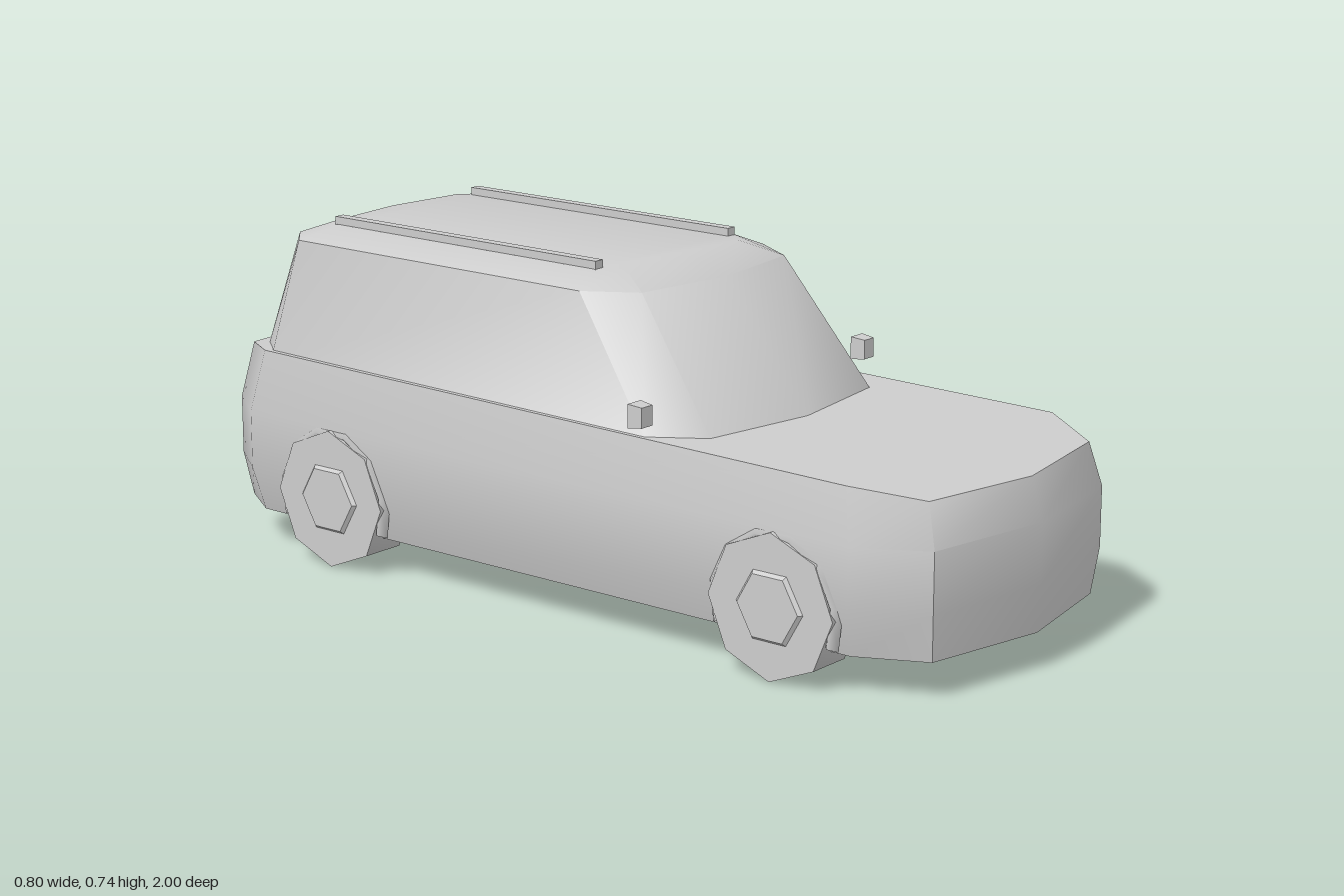
import * as THREE from 'three';
import { toCreasedNormals } from 'three/addons/utils/BufferGeometryUtils.js';

// Skins a stack of mirrored outlines; each half outline runs front to rear on +x as [x, y, z].
function loftHalfRings(halfRings, crease) {
  const positions = [];
  const index = [];
  const half = halfRings[0].length;
  const n = half * 2 - 2;
  for (const ring of halfRings) {
    const mirrored = ring.slice(1, -1).reverse().map(([x, y, z]) => [-x, y, z]);
    positions.push(...ring.concat(mirrored).flat());
  }
  for (let r = 0; r < halfRings.length - 1; r++) {
    for (let i = 0; i < n; i++) {
      const a = r * n + i, b = r * n + ((i + 1) % n);
      index.push(a, b, b + n, a, b + n, a + n);
    }
  }
  // Caps run across the car between mirrored points.
  const last = (halfRings.length - 1) * n;
  const cap = (a, b, c) => index.push(last + a, last + b, last + c, a, c, b);
  cap(0, 1, n - 1);
  for (let i = 1; i < half - 2; i++) {
    cap(i, i + 1, n - i - 1);
    cap(i, n - i - 1, n - i);
  }
  cap(half - 2, half - 1, half);
  const geometry = new THREE.BufferGeometry();
  geometry.setAttribute('position', new THREE.Float32BufferAttribute(positions, 3));
  geometry.setIndex(index);
  return toCreasedNormals(geometry, crease);
}

const level = (y, outline) => outline.map(([x, z]) => [x, y, z]);

export function createModel() {
  const car = new THREE.Group();
  car.name = 'car';
  const grey = new THREE.MeshStandardMaterial({ color: 0xcccccc });
  grey.name = 'lightGrey';

  const add = (name, geometry, parent = car, x = 0, y = 0, z = 0) => {
    const mesh = new THREE.Mesh(geometry, grey);
    mesh.name = name;
    mesh.position.set(x, y, z);
    parent.add(mesh);
    return mesh;
  };

  // Lower body with bonnet and belt line
  const waist = [[0, 0.995], [0.3, 0.945], [0.383, 0.8], [0.383, -0.84], [0.3, -0.955], [0, -1]];
  add('body', loftHalfRings([
    level(0.08, [[0, 0.99], [0.285, 0.935], [0.355, 0.79], [0.355, -0.83], [0.285, -0.94], [0, -0.985]]),
    level(0.18, waist),
    level(0.31, waist),
    [[0, 0.4, 0.968], [0.285, 0.402, 0.92], [0.363, 0.425, 0.78],
      [0.363, 0.45, -0.81], [0.285, 0.438, -0.925], [0, 0.43, -0.975]],
  ], 0.85));

  // Cabin with sloped windscreen and bevelled roof
  add('cabin', loftHalfRings([
    [[0, 0.42, 0.425], [0.275, 0.42, 0.385], [0.354, 0.425, 0.275],
      [0.354, 0.43, -0.8], [0.275, 0.43, -0.89], [0, 0.42, -0.925]],
    level(0.697, [[0, 0.205], [0.24, 0.17], [0.308, 0.06], [0.308, -0.75], [0.24, -0.815], [0, -0.845]]),
    level(0.727, [[0, 0.11], [0.19, 0.085], [0.237, 0.03], [0.237, -0.7], [0.19, -0.74], [0, -0.76]]),
  ], 0.85));

  // Mirror housing, narrower at the front
  const mirrorGeometry = new THREE.BoxGeometry(0.042, 0.05, 0.034).toNonIndexed();
  const p = mirrorGeometry.attributes.position;
  for (let i = 0; i < p.count; i++) {
    if (p.getZ(i) > 0) p.setXY(i, p.getX(i) * 0.8, p.getY(i) * 0.85);
  }
  mirrorGeometry.computeVertexNormals();

  const tyreGeometry = toCreasedNormals(new THREE.CylinderGeometry(0.154, 0.154, 0.103, 8).rotateZ(-Math.PI / 2), 0.9);
  const hubGeometry = toCreasedNormals(new THREE.CylinderGeometry(0.075, 0.088, 0.014, 6).rotateZ(-Math.PI / 2), 0.4);
  const archSweep = Math.PI * 1.25;
  const archGeometry = new THREE.TorusGeometry(0.15, 0.018, 4, 7, archSweep)
    .rotateZ((Math.PI - archSweep) / 2).rotateY(Math.PI / 2);

  for (const side of [1, -1]) {
    const label = side > 0 ? 'left' : 'right';
    add(label + 'RoofRail', new THREE.BoxGeometry(0.024, 0.026, 0.75), car, side * 0.221, 0.731, -0.335);
    add(label + 'Mirror', mirrorGeometry, car, side * 0.379, 0.485, 0.281);

    // Wheels, hub caps and arch trims
    for (const [end, z] of [['Front', 0.62], ['Rear', -0.59]]) {
      const wheel = new THREE.Group();
      wheel.name = label + end + 'Wheel';
      wheel.position.set(side * 0.3415, 0.154, z);
      wheel.rotation.y = side > 0 ? 0 : Math.PI;
      add('tyre', tyreGeometry, wheel);
      add('hubCap', hubGeometry, wheel, 0.0525);
      add('archTrim', archGeometry, wheel, 0.032);
      car.add(wheel);
    }
  }
  return car;
}
